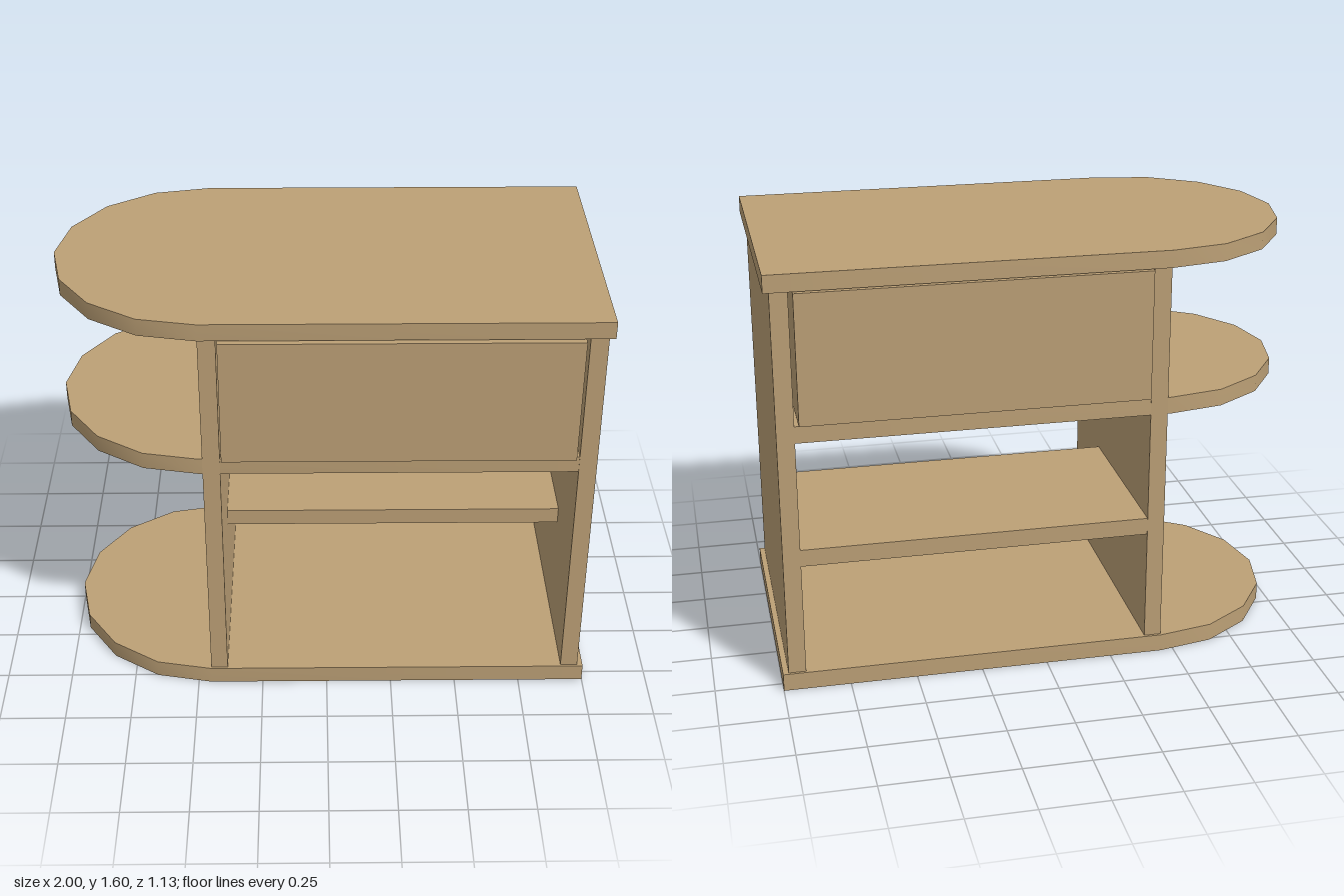
import * as THREE from 'three';
import { toCreasedNormals } from 'three/addons/utils/BufferGeometryUtils.js';

const wood = new THREE.MeshStandardMaterial({ color: 0xbca076 });
wood.name = 'light wood';

export function createModel() {
  const group = new THREE.Group();
  group.name = 'sideTable';

  const add = (name, geometry) => {
    const mesh = new THREE.Mesh(geometry, wood);
    mesh.name = name;
    group.add(mesh);
    return mesh;
  };

  // Box given by its extents on each axis
  const box = (name, [x0, x1], [y0, y1], [z0, z1]) => {
    const mesh = add(name, new THREE.BoxGeometry(x1 - x0, y1 - y0, z1 - z0));
    mesh.position.set((x0 + x1) / 2, (y0 + y1) / 2, (z0 + z1) / 2);
  };

  // Horizontal board with a square right end and a half-round left end of eight facets
  const roundedBoard = (name, xEnd, y0, y1, radius) => {
    const xArc = -1 + radius;
    const shape = new THREE.Shape();
    shape.moveTo(xEnd, -radius);
    shape.lineTo(xEnd, radius);
    for (let i = 0; i <= 8; i++) {
      const a = Math.PI / 2 + (i / 8) * Math.PI;
      shape.lineTo(xArc + Math.cos(a) * radius, Math.sin(a) * radius);
    }
    const geometry = new THREE.ExtrudeGeometry(shape, { depth: y1 - y0, bevelEnabled: false });
    geometry.rotateX(-Math.PI / 2);
    const mesh = add(name, toCreasedNormals(geometry, 0.6));
    mesh.position.set(0, y0, -0.004);
  };

  // Rounded boards
  roundedBoard('base', 1, 0, 0.067, 0.549);
  roundedBoard('middleShelf', 0.914, 0.977, 1.041, 0.538);
  roundedBoard('top', 1, 1.537, 1.602, 0.549);

  // Upright panels
  const depth = [-0.543, 0.536];
  box('innerPanel', [-0.45, -0.386], [0.067, 1.537], depth);
  box('endPanel', [0.914, 0.979], [0.067, 1.537], depth);

  // Shallow shelf, set back from the front
  box('lowerShelf', [-0.386, 0.914], [0.496, 0.561], [-0.541, 0.18]);

  // Drawer running through the case, proud of both faces
  box('drawer', [-0.38, 0.899], [1.047, 1.534], [-0.564, 0.564]);

  return group;
}
